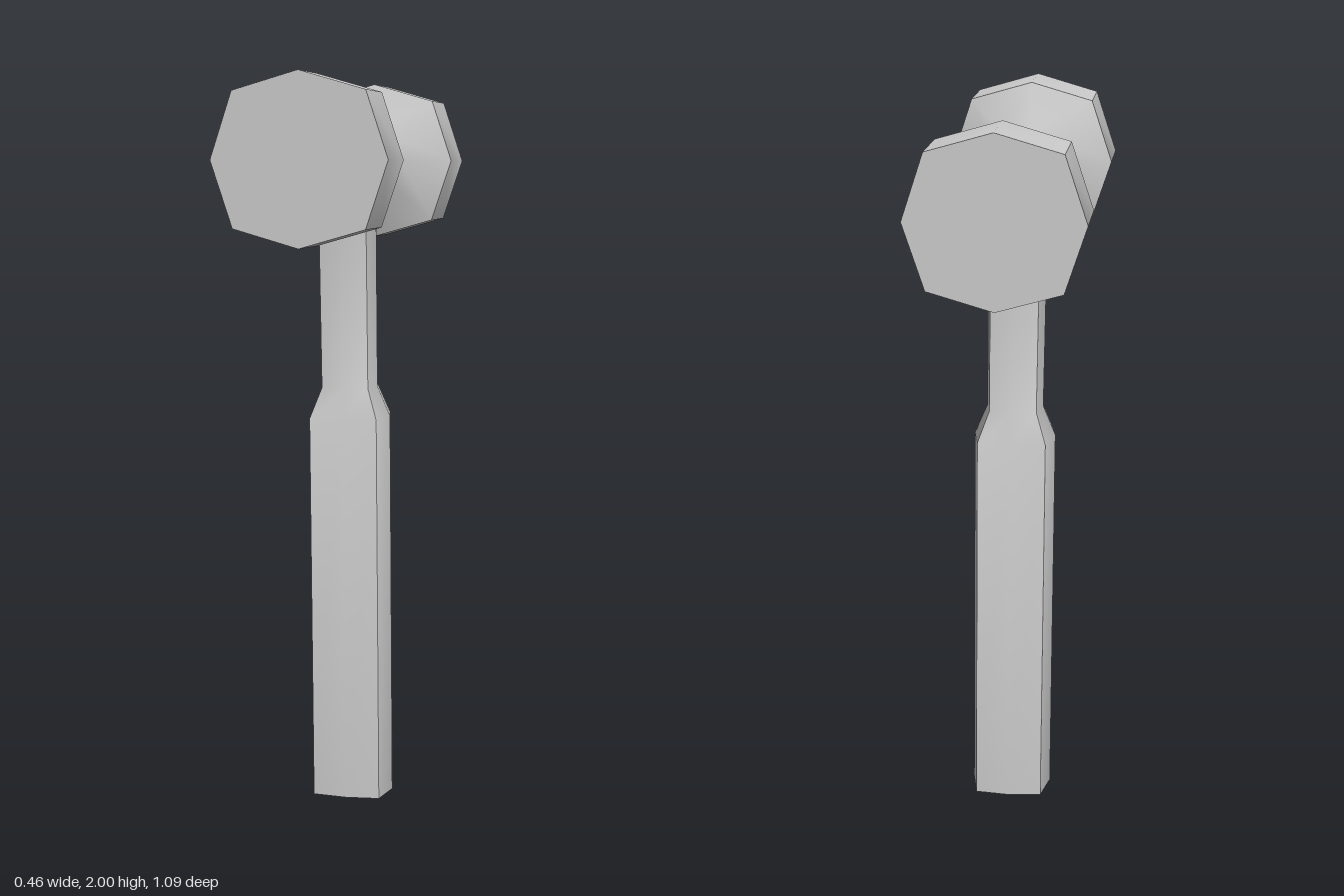
import * as THREE from 'three';
import { toCreasedNormals } from 'three/addons/utils/BufferGeometryUtils.js';

// Lofts eight-sided sections along y.
// Each section: [y, centreX, halfWidthX, halfWidthZ, cornerX, cornerZ]
function loft(sections) {
  const pos = [], index = [], n = 8;
  for (const [y, cx, a, b, dx, dz] of sections) {
    const ring = [[a, 0], [dx, dz], [0, b], [-dx, dz], [-a, 0], [-dx, -dz], [0, -b], [dx, -dz]];
    for (const [x, z] of ring) pos.push(cx + x, y, z);
  }
  const last = (sections.length - 1) * n;
  for (let s = 0; s < last; s += n) {
    for (let k = 0; k < n; k++) {
      const a = s + k, b = s + (k + 1) % n;
      index.push(a, a + n, b, b, a + n, b + n);
    }
  }
  // end caps
  for (let k = 1; k < n - 1; k++) {
    index.push(0, k, k + 1, last, last + k + 1, last + k);
  }
  const geo = new THREE.BufferGeometry();
  geo.setAttribute('position', new THREE.Float32BufferAttribute(pos, 3));
  geo.setIndex(index);
  return toCreasedNormals(geo, 0.75);
}

export function createModel() {
  const group = new THREE.Group();
  const material = new THREE.MeshStandardMaterial({ color: 0xcccccc });

  // Head: half profile mirrored about the middle, laid along z
  const half = [
    [0.545, 0, 0.228, 0.22, 0.171, 0.171],
    [0.352, 0, 0.228, 0.22, 0.171, 0.171],
    [0.296, 0, 0.09, 0.085, 0.068, 0.068],
    [0.225, 0, 0.092, 0.087, 0.07, 0.07],
  ];
  const middle = [0, 0, 0.14, 0.126, 0.108, 0.104];
  const head = new THREE.Mesh(loft([
    ...half.map(([y, ...rest]) => [-y, ...rest]),
    middle,
    ...half.slice().reverse(),
  ]), material);
  head.name = 'doubleFacedHead';
  head.rotation.set(Math.PI / 2, 0, 0);
  head.position.set(-0.001, 1.78, 0);
  group.add(head);

  // Handle: thick grip, short shoulder and slim neck, leaning slightly
  const handle = new THREE.Mesh(loft([
    [0, 0.018, 0.113, 0.106, 0.094, 0.096],
    [1.075, 0.008, 0.113, 0.106, 0.094, 0.096],
    [1.158, 0.007, 0.078, 0.076, 0.065, 0.066],
    [1.64, 0.0, 0.08, 0.077, 0.066, 0.067],
    [1.72, 0.0, 0.08, 0.08, 0.068, 0.07],
  ]), material);
  handle.name = 'handle';
  group.add(handle);

  return group;
}
